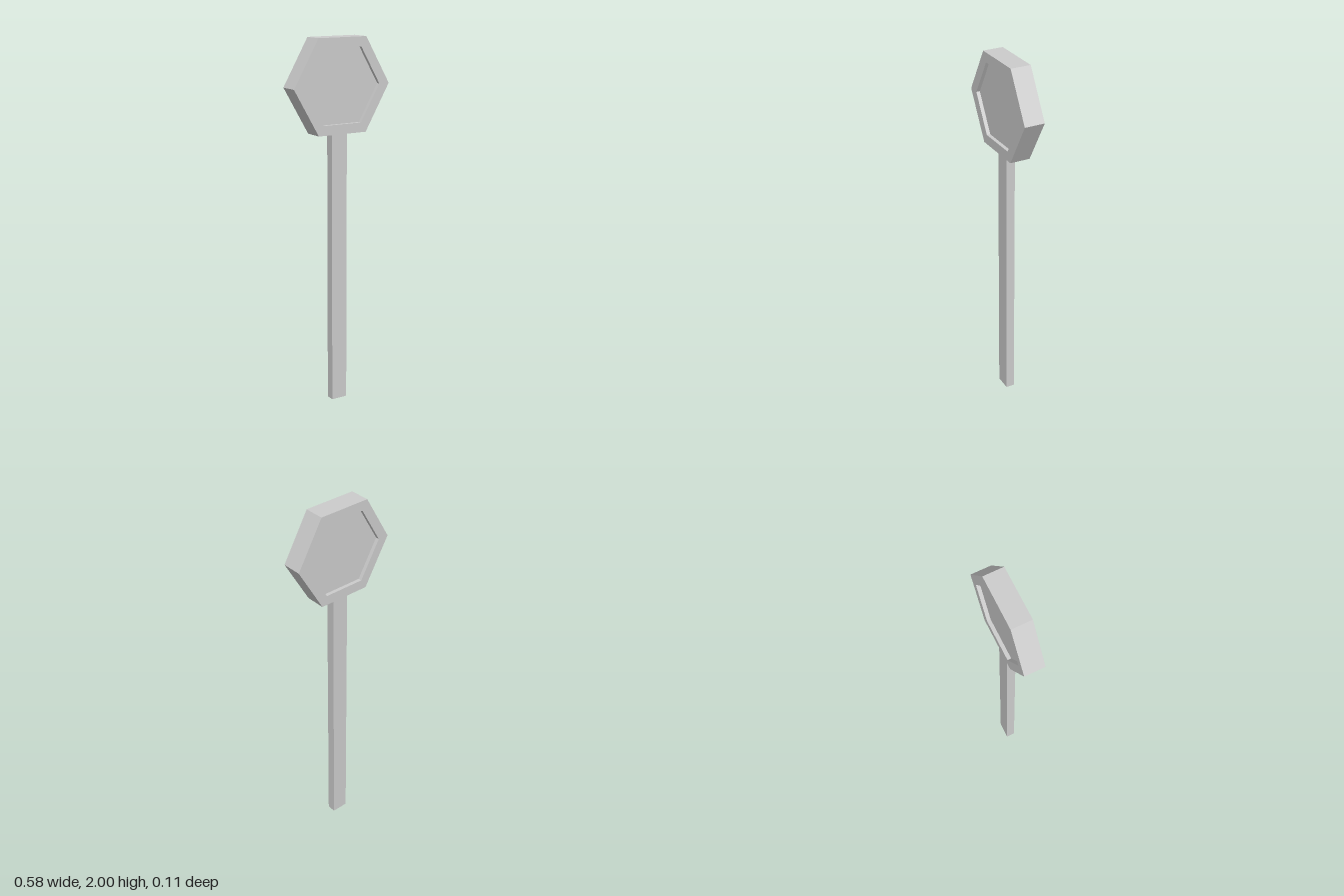
import * as THREE from 'three';

// Corner points of a hexagon with a flat top and a corner at each side
function hexagon(radius) {
  return Array.from({ length: 6 }, (_, i) => {
    const a = (i * Math.PI) / 3;
    return new THREE.Vector2(radius * Math.cos(a), radius * Math.sin(a));
  });
}

// Extrudes a shape evenly to both sides of z = 0
function slab(shape, depth) {
  return new THREE.ExtrudeGeometry(shape, { depth, bevelEnabled: false }).translate(0, 0, -depth / 2);
}

export function createModel() {
  const model = new THREE.Group();
  model.name = 'signPost';
  const material = new THREE.MeshStandardMaterial({ color: 0xcccccc, flatShading: true });
  const add = (name, geometry, y) => {
    const mesh = new THREE.Mesh(geometry, material);
    mesh.name = name;
    mesh.position.y = y;
    model.add(mesh);
  };

  const outer = 0.288, inner = 0.228;
  const apothem = (outer * Math.sqrt(3)) / 2;
  const centreY = 2 - apothem;
  const postHeight = 2 - 2 * apothem;

  // Flat rectangular post
  add('post', new THREE.BoxGeometry(0.092, postHeight, 0.048), postHeight / 2);

  // Raised hexagonal rim
  const rim = new THREE.Shape(hexagon(outer));
  rim.holes.push(new THREE.Path(hexagon(inner).reverse()));
  add('signRim', slab(rim, 0.11), centreY);

  // Panel, recessed on both faces
  add('signPanel', slab(new THREE.Shape(hexagon(inner)), 0.07), centreY);

  return model;
}
